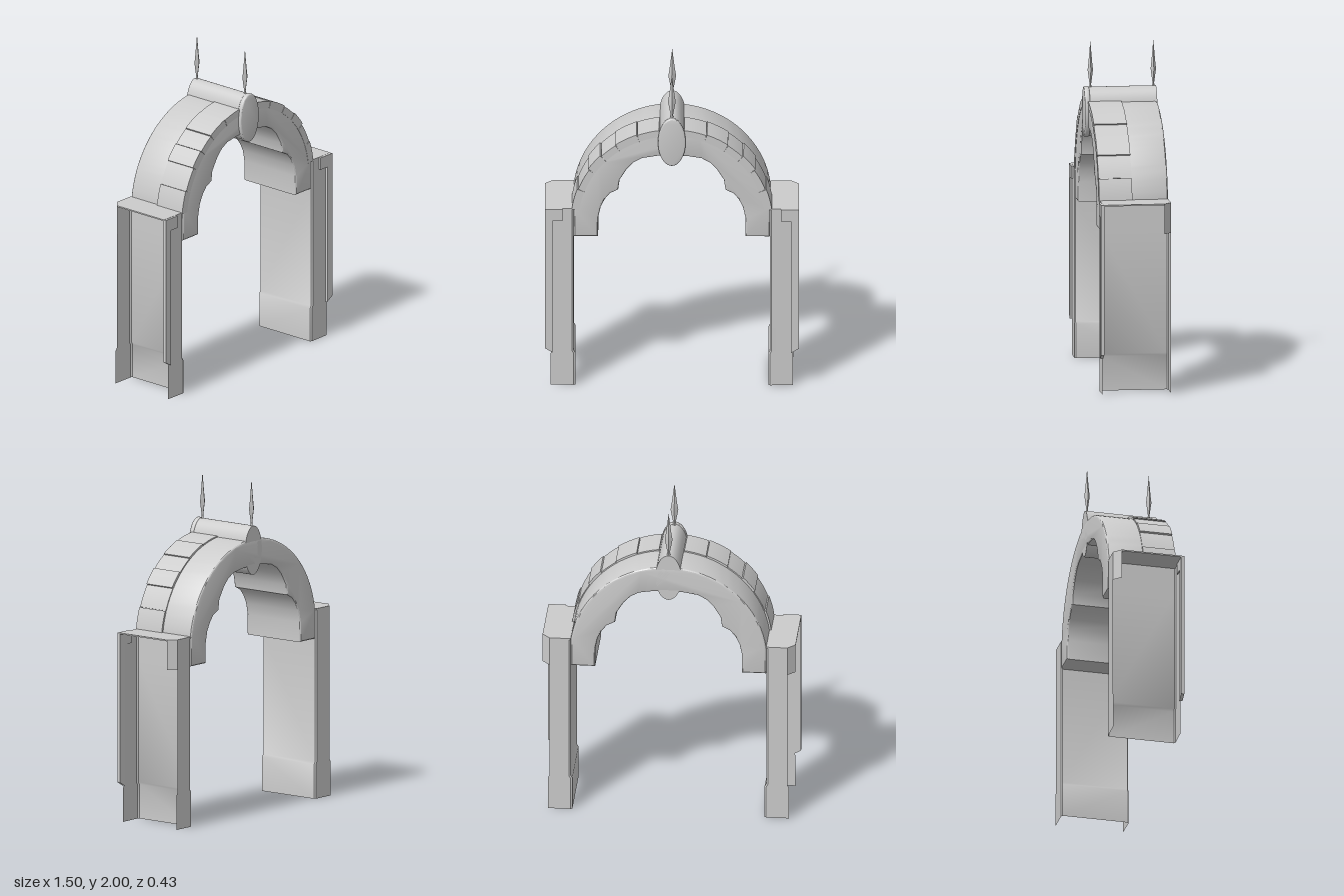
import * as THREE from 'three';
import { toCreasedNormals } from 'three/addons/utils/BufferGeometryUtils.js';

const mat = new THREE.MeshStandardMaterial({ color: 0xcccccc, side: THREE.DoubleSide });
const CY = 1.06; // centre height of the arch curve

function add(parent, name, geo, crease = 0.6) {
  const mesh = new THREE.Mesh(toCreasedNormals(geo, crease), mat);
  mesh.name = name;
  parent.add(mesh);
  return mesh;
}

const shapeOf = pts => new THREE.Shape(pts.map(p => new THREE.Vector2(p[0], p[1])));

// Flat outline pushed from z0 to z1
function slab(pts, z0, z1) {
  const geo = new THREE.ExtrudeGeometry(shapeOf(pts), { depth: z1 - z0, bevelEnabled: false });
  return geo.translate(0, 0, z0);
}

// Open upright sheet following a plan path of [x, z], through rows of [y, spread]
function sheet(path, rows) {
  const pos = [], idx = [], n = path.length;
  for (const [y, spread] of rows)
    for (const [x, z] of path) pos.push(x + (x > 0.65 ? spread : -spread), y, z);
  for (let j = 0; j < rows.length - 1; j++)
    for (let i = 0; i < n - 1; i++) {
      const a = j * n + i, b = a + n;
      idx.push(a, a + 1, b, a + 1, b + 1, b);
    }
  const geo = new THREE.BufferGeometry();
  geo.setAttribute('position', new THREE.Float32BufferAttribute(pos, 3));
  geo.setIndex(idx);
  return geo;
}

function arcPoints(r, a0, a1, n) {
  return Array.from({ length: n + 1 }, (_, i) => {
    const a = a0 + (a1 - a0) * i / n;
    return [r * Math.cos(a), CY + r * Math.sin(a)];
  });
}

// Arch outline: round outside, stepped soffit, square springers
function archGeometry() {
  const inner = [[0.58, 0.96], [0.435, 0.96], [0.435, 1.08], [0.42, 1.15], [0.395, 1.2], [0.365, 1.237],
    [0.317, 1.262], [0.308, 1.325], [0.265, 1.395], [0.225, 1.437], [0.175, 1.465], [0.085, 1.48]];
  const outer = arcPoints(0.585, 0.137, Math.PI - 0.137, 40);
  const mirrored = inner.slice().reverse().map(([x, y]) => [-x, y]);
  const outline = [...outer, ...mirrored.reverse(), ...inner.slice().reverse()];
  const bevel = 0.014;
  const geo = new THREE.ExtrudeGeometry(shapeOf(outline), {
    depth: 0.41 - 2 * bevel, bevelSize: bevel, bevelThickness: bevel, bevelOffset: -bevel, bevelSegments: 3,
  });
  return geo.translate(0, 0, -0.215 + bevel);
}

// Channel-shaped pillar, open on its outer side
function pillar() {
  const g = new THREE.Group();
  const path = [[0.705, 0.193], [0.59, 0.195], [0.58, 0.188], [0.58, -0.208], [0.59, -0.215], [0.705, -0.215]];
  add(g, 'pillarChannel', sheet(path, [[0, 0.01], [0.205, 0.01], [0.222, 0], [0.96, 0], [1.14, 0]]));

  // Raised trim on the front outer edge
  add(g, 'frontTrim', slab([[0.705, 0.215], [0.75, 0.242], [0.75, 1.14], [0.645, 1.14],
    [0.645, 1.065], [0.705, 1.065]], 0.188, 0.207));

  // Chamfered corner piece below the cap at the back
  add(g, 'rearCorner', sheet([[0.705, -0.215], [0.75, -0.172]], [[0.96, 0], [1.14, 0]]));

  // Thin cap plate
  const cap = slab([[0.58, -0.193], [0.75, -0.193], [0.75, 0.172], [0.705, 0.215], [0.58, 0.215]], 0, 0.008);
  cap.rotateX(-Math.PI / 2).translate(0, 1.133, 0);
  add(g, 'capPlate', cap);
  return g;
}

// Slightly uneven edge stones over the front half of the arch
function voussoirs() {
  const g = new THREE.Group();
  const cuts = [0.13, 0.36, 0.6, 0.79, 0.98, 1.22, 1.45];
  const radii = [0.596, 0.59, 0.599, 0.592, 0.597, 0.593];
  radii.forEach((r, i) => {
    const a = cuts[i], b = cuts[i + 1] - 0.006;
    const outline = [...arcPoints(r, a, b, 6), ...arcPoints(0.55, b, a, 6)];
    add(g, 'edgeStone', slab(outline, 0, 0.197));
  });
  return g;
}

export function createModel() {
  const model = new THREE.Group();
  model.name = 'archway';
  add(model, 'arch', archGeometry(), 0.5);

  for (const s of [1, -1]) {
    const p = pillar(), v = voussoirs();
    p.name = s > 0 ? 'leftPillar' : 'rightPillar';
    v.name = s > 0 ? 'leftEdgeStones' : 'rightEdgeStones';
    p.scale.x = v.scale.x = s;
    model.add(p, v);
  }

  // Oval keystone bar running through the arch, with a domed front
  const oval = new THREE.Shape();
  oval.absellipse(0, 1.577, 0.078, 0.147, 0, Math.PI * 2);
  const bar = new THREE.ExtrudeGeometry(oval, { depth: 0.4, bevelEnabled: false, curveSegments: 20 });
  add(model, 'keystoneBar', bar.translate(0, 0, -0.215));
  const front = new THREE.ExtrudeGeometry(oval, {
    depth: 0.014, bevelSize: 0.006, bevelThickness: 0.008, bevelOffset: -0.002, bevelSegments: 3, curveSegments: 20,
  });
  add(model, 'keystoneFront', front.translate(0, 0, 0.193));

  // Four-sided spikes standing on the keystone
  const profile = [[0.012, 1.715], [0.007, 1.74], [0.023, 1.825], [0.016, 1.87], [0, 2]];
  for (const z of [0.175, -0.2]) {
    const geo = new THREE.LatheGeometry(profile.map(p => new THREE.Vector2(...p)), 4);
    add(model, z > 0 ? 'frontSpike' : 'rearSpike', geo.scale(1, 1, 0.7).translate(0, 0, z), 0.2);
  }
  return model;
}
